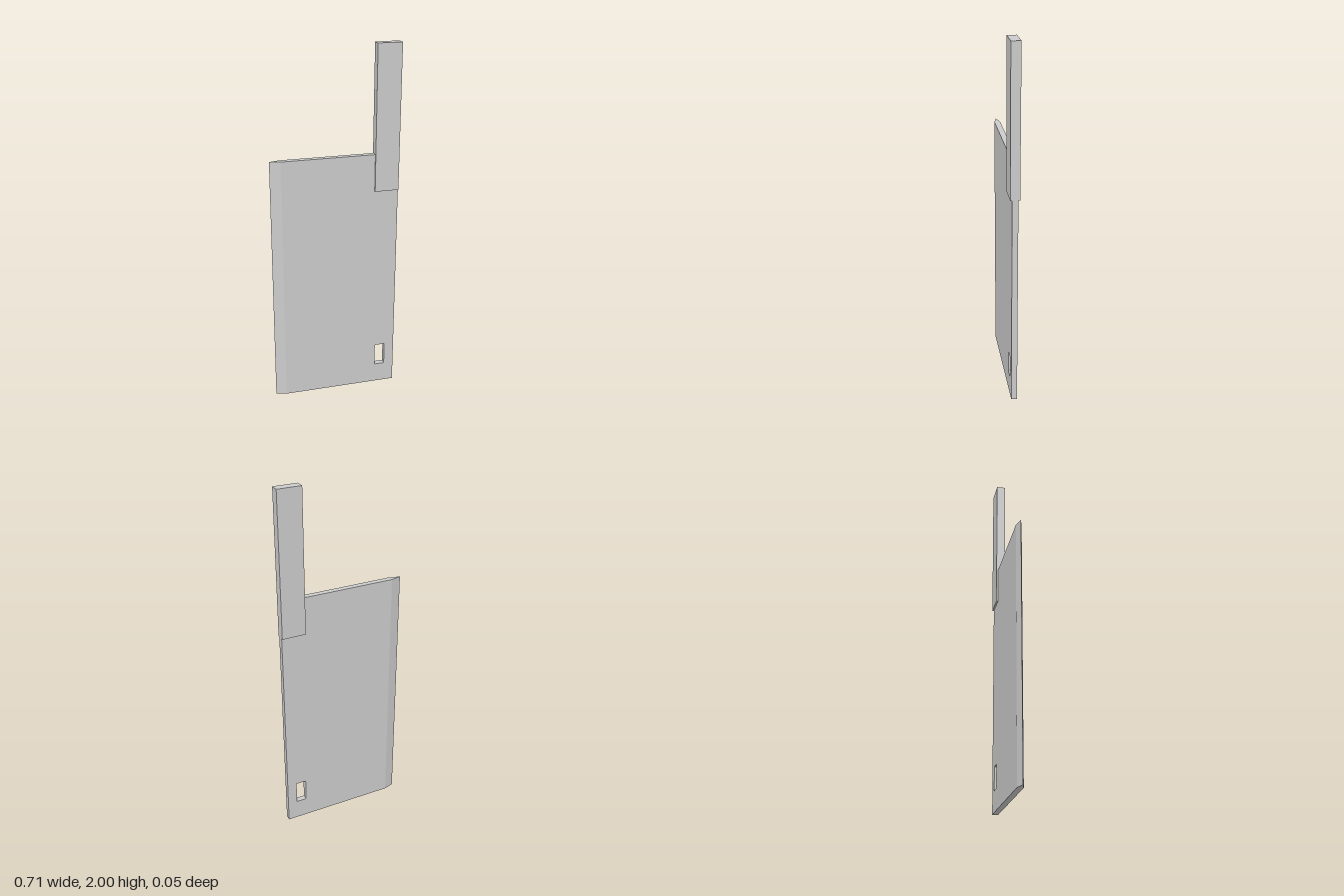
import * as THREE from 'three';

const HALF_W = 0.353, BEVEL_X = -0.295, TOP = 1.412, THICK = 0.032;
const HANDLE = { x: 0.22, y: 1.205, depth: 0.05 };

function polygon(points, Type = THREE.Shape) {
  return new Type(points.map(([x, y]) => new THREE.Vector2(x, y)));
}

export function createModel() {
  const group = new THREE.Group();
  group.name = 'cleaver';
  const material = new THREE.MeshStandardMaterial({ color: 0xcccccc, flatShading: true });
  const add = (name, geometry) => {
    const mesh = new THREE.Mesh(geometry, material);
    mesh.name = name;
    group.add(mesh);
    return mesh;
  };

  // Flat blade plate, notched for the handle, with a rectangular hanging hole
  const plate = polygon([
    [BEVEL_X, 0], [HALF_W, 0], [HALF_W, HANDLE.y],
    [HANDLE.x, HANDLE.y], [HANDLE.x, TOP], [BEVEL_X, TOP],
  ]);
  plate.holes.push(polygon([[0.24, 0.115], [0.24, 0.245], [0.298, 0.245], [0.298, 0.115]], THREE.Path));
  add('blade', new THREE.ExtrudeGeometry(plate, { depth: THICK, bevelEnabled: false }))
    .position.z = -THICK / 2;

  // Sharpened edge: a triangular section running the height of the blade
  const wedge = polygon([[-HALF_W, 0], [BEVEL_X, -THICK / 2], [BEVEL_X, THICK / 2]]);
  add('cuttingEdge', new THREE.ExtrudeGeometry(wedge, { depth: TOP, bevelEnabled: false })
    .rotateX(-Math.PI / 2));

  // Thicker handle slab, flush with the spine
  add('handle', new THREE.BoxGeometry(HALF_W - HANDLE.x, 2 - HANDLE.y, HANDLE.depth))
    .position.set((HALF_W + HANDLE.x) / 2, (2 + HANDLE.y) / 2, 0);

  return group;
}
